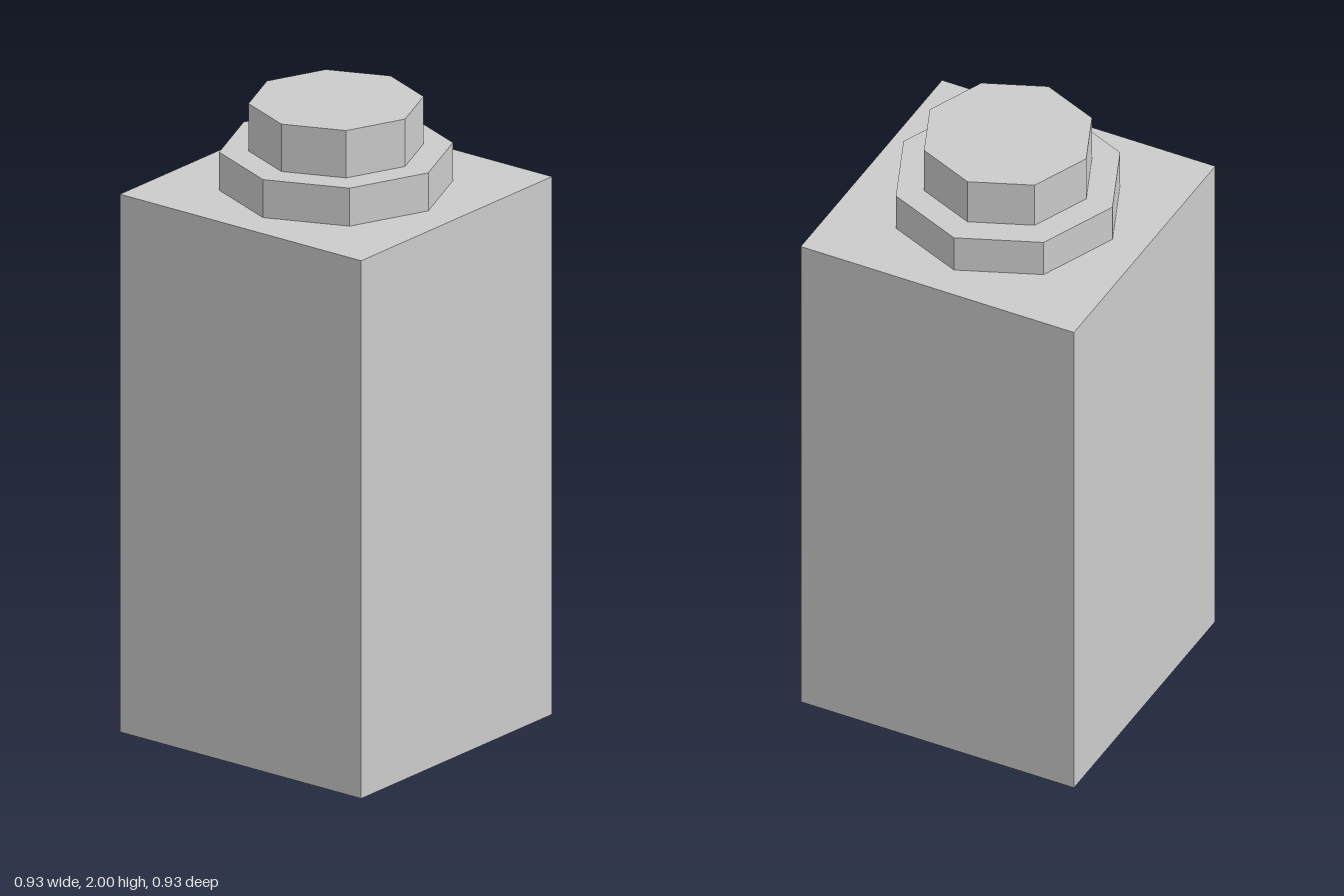
import * as THREE from 'three';

export function createModel() {
  const group = new THREE.Group();
  const material = new THREE.MeshStandardMaterial({ color: 0xcccccc, flatShading: true });

  // Adds a part whose base sits at the given height
  const add = (name, geometry, base, height) => {
    const mesh = new THREE.Mesh(geometry, material);
    mesh.name = name;
    mesh.position.y = base + height / 2;
    group.add(mesh);
  };

  // Octagonal prism with corners on the x and z axes
  const addOctagon = (name, radius, base, top) =>
    add(name, new THREE.CylinderGeometry(radius, radius, top - base, 8), base, top - base);

  // Square body
  add('body', new THREE.BoxGeometry(0.925, 1.726, 0.925), 0, 1.726);

  // Stepped octagonal top
  addOctagon('collar', 0.354, 1.726, 1.848);
  addOctagon('cap', 0.265, 1.848, 2);

  return group;
}
